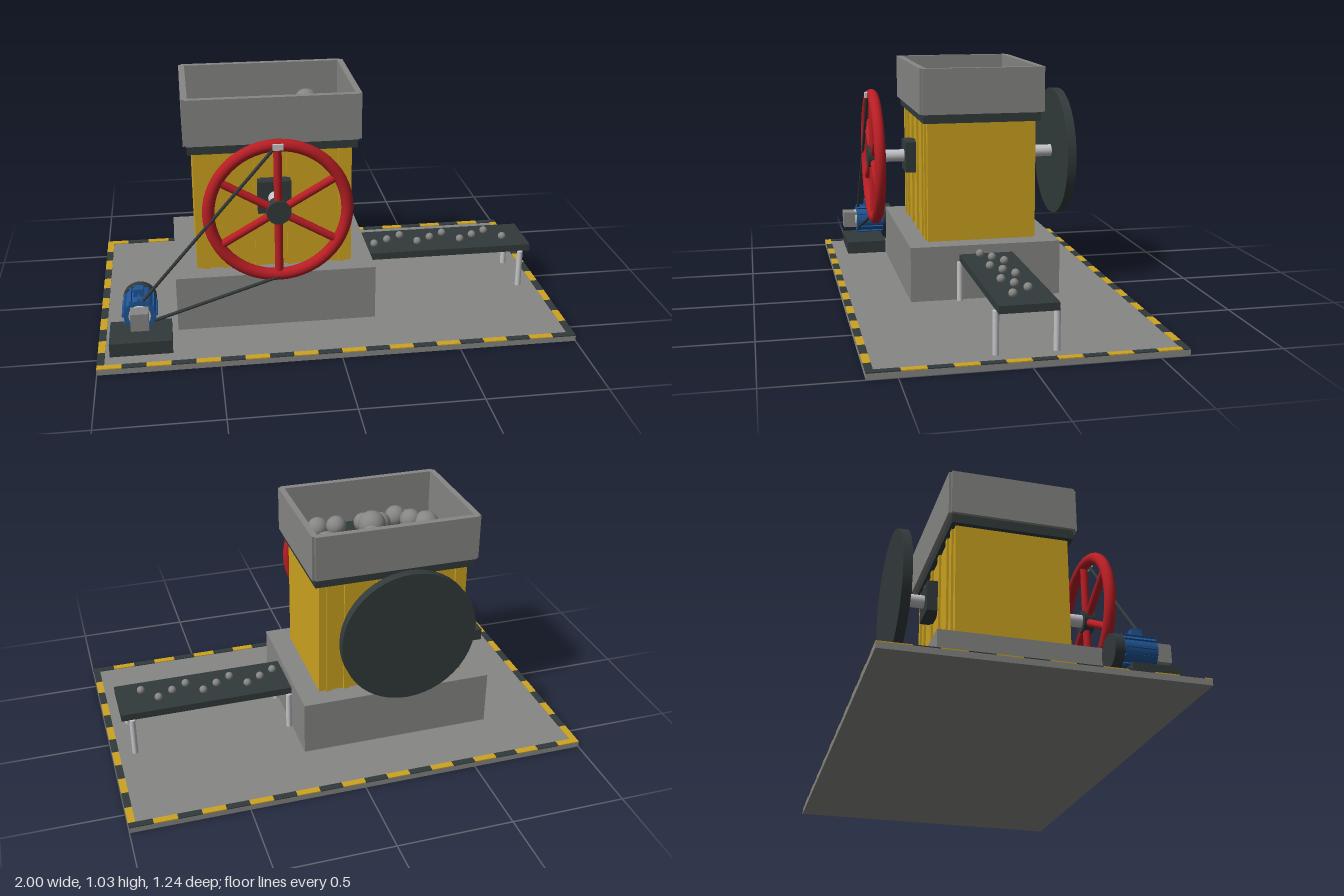
import * as THREE from 'three';

export function createModel() {
  const root = new THREE.Group();
  root.name = 'crusherPlant';
  const mat = (name, color) => {
    const m = new THREE.MeshStandardMaterial({ color });
    m.name = name;
    return m;
  };
  const gray = mat('concreteGray', 0x868684);
  const yellow = mat('machineYellow', 0xcca320);
  const dark = mat('darkIron', 0x323a3b);
  const red = mat('wheelRed', 0xb81e24);
  const blue = mat('motorBlue', 0x1f5596);
  const steel = mat('steel', 0xc4c4c8);

  const add = (name, geo, m, x = 0, y = 0, z = 0, parent = root) => {
    const mesh = new THREE.Mesh(geo, m);
    mesh.name = name;
    mesh.position.set(x, y, z);
    parent.add(mesh);
    return mesh;
  };
  // Box given by its min and max on each axis
  const box = (name, m, x0, x1, y0, y1, z0, z1) =>
    add(name, new THREE.BoxGeometry(x1 - x0, y1 - y0, z1 - z0), m,
      (x0 + x1) / 2, (y0 + y1) / 2, (z0 + z1) / 2);
  // Cylinder running along z
  const cylZ = (name, m, r, x, y, z0, z1, seg = 32) =>
    add(name, new THREE.CylinderGeometry(r, r, z1 - z0, seg).rotateX(Math.PI / 2), m, x, y, (z0 + z1) / 2);
  // Round rod between two points
  const rod = (name, m, a, b, r) => {
    const p = new THREE.Vector3(...a), q = new THREE.Vector3(...b);
    const d = q.clone().sub(p);
    const mesh = add(name, new THREE.CylinderGeometry(r, r, d.length(), 12), m);
    mesh.position.copy(p.add(q).multiplyScalar(0.5));
    mesh.quaternion.setFromUnitVectors(new THREE.Vector3(0, 1, 0), d.normalize());
    return mesh;
  };

  // Floor slab with hazard border
  box('floorSlab', gray, -1, 1, 0, 0.024, -0.618, 0.618);
  for (let i = 0; i < 20; i++) {
    const m = i % 2 ? dark : yellow, x = -1 + i * 0.1;
    for (const s of [-1, 1]) {
      box('hazardStripe', m, x, x + 0.1, 0.024, 0.028, s * 0.603 - 0.015, s * 0.603 + 0.015);
    }
  }
  const step = 1.176 / 12;
  for (let i = 0; i < 12; i++) {
    const m = i % 2 ? dark : yellow, z = -0.588 + i * step;
    for (const s of [-1, 1]) {
      box('hazardStripe', m, s * 0.985 - 0.015, s * 0.985 + 0.015, 0.024, 0.028, z, z + step);
    }
  }

  // Plinth, body and ribs
  const cx = -0.24, wy = 0.598;
  box('plinth', gray, -0.667, 0.187, 0.024, 0.265, -0.332, 0.332);
  box('crusherBody', yellow, cx - 0.333, cx + 0.333, 0.265, 0.79, -0.24, 0.24);
  for (const s of [-1, 1]) {
    for (const dx of [-0.29, -0.21, -0.07, 0.07, 0.21, 0.29]) {
      box('bodyRib', yellow, cx + dx - 0.013, cx + dx + 0.013, 0.265, 0.79,
        s * 0.243 - 0.007, s * 0.243 + 0.007);
    }
    // Bearing housings
    box('bearingBlock', dark, cx - 0.07, cx + 0.07, wy - 0.07, wy + 0.07,
      s * 0.268 - 0.028, s * 0.268 + 0.028);
  }

  // Hopper: collar and four walls
  box('hopperCollar', dark, cx - 0.355, cx + 0.355, 0.79, 0.83, -0.26, 0.26);
  for (const s of [-1, 1]) {
    box('hopperLongWall', gray, cx - 0.358, cx + 0.358, 0.83, 1.028, s * 0.262 - 0.014, s * 0.262 + 0.014);
    box('hopperShortWall', gray, cx + s * 0.357 - 0.013, cx + s * 0.357 + 0.013, 0.83, 1.028, -0.265, 0.265);
  }

  // Rocks in the hopper: x, z, radius
  const rocks = [
    [-0.5, -0.053, 0.043], [-0.487, 0.037, 0.059], [-0.428, 0.075, 0.048], [-0.428, 0.155, 0.037],
    [-0.385, 0.155, 0.048], [-0.348, -0.059, 0.048], [-0.32, -0.102, 0.043], [-0.294, 0.107, 0.048],
    [-0.246, 0.075, 0.062], [-0.23, 0.027, 0.045], [-0.225, 0.134, 0.043], [-0.053, -0.123, 0.053],
    [0.01, -0.155, 0.043], [-0.005, -0.032, 0.055], [-0.09, 0.107, 0.045], [-0.021, 0.16, 0.048],
  ];
  rocks.forEach(([x, z, r], i) =>
    add('rock', new THREE.SphereGeometry(r, 20, 14), gray, x, 0.86 + (i % 3) * 0.012, z));

  // Shaft and solid rear flywheel
  cylZ('mainShaft', steel, 0.028, cx, wy, -0.42, 0.43, 24);
  cylZ('rearFlywheel', dark, 0.295, cx, wy, -0.444, -0.404, 48);

  // Spoked drive wheel
  const wheel = new THREE.Group();
  wheel.name = 'driveWheel';
  wheel.position.set(cx, wy, 0.439);
  root.add(wheel);
  add('wheelRim', new THREE.TorusGeometry(0.283, 0.025, 16, 56), red, 0, 0, 0, wheel);
  add('wheelHub', new THREE.CylinderGeometry(0.05, 0.05, 0.05, 20).rotateX(Math.PI / 2), dark, 0, 0, 0, wheel);
  for (let i = 0; i < 3; i++) {
    add('wheelSpokes', new THREE.CylinderGeometry(0.017, 0.017, 0.56, 12), red, 0, 0, 0, wheel)
      .rotation.z = i * Math.PI / 3;
  }
  add('wheelMarker', new THREE.BoxGeometry(0.042, 0.024, 0.02), steel, 0, 0.283, 0.024, wheel);

  // Motor on its base
  const mx = -0.82, my = 0.178;
  box('motorBase', dark, -0.95, -0.692, 0.024, 0.083, 0.333, 0.523);
  cylZ('motorBody', blue, 0.066, mx, my, 0.33, 0.467);
  cylZ('motorFanCover', dark, 0.07, mx, my, 0.295, 0.334);
  for (let i = 0; i < 12; i++) {
    const a = i * Math.PI / 6;
    add('motorFin', new THREE.BoxGeometry(0.016, 0.01, 0.128), blue,
      mx + Math.cos(a) * 0.065, my + Math.sin(a) * 0.065, 0.4).rotation.z = a;
  }
  box('motorTerminalBox', blue, mx - 0.021, mx + 0.021, 0.235, 0.275, 0.383, 0.425);
  cylZ('motorPulley', steel, 0.045, mx, my, 0.46, 0.476, 24);
  box('motorGuard', gray, mx - 0.037, mx + 0.037, 0.141, 0.217, 0.467, 0.533);

  // Drive belt runs
  rod('beltUpperRun', dark, [-0.81, 0.232, 0.458], [-0.25, 0.88, 0.458], 0.007);
  rod('beltLowerRun', dark, [-0.79, 0.137, 0.458], [-0.24, 0.313, 0.458], 0.007);

  // Conveyor with legs and crushed stones
  box('conveyorDeck', dark, 0.187, 0.945, 0.195, 0.226, -0.118, 0.118);
  for (const x of [0.2, 0.9]) {
    for (const s of [-1, 1]) {
      add('conveyorLeg', new THREE.CylinderGeometry(0.013, 0.013, 0.172, 16), steel, x, 0.11, s * 0.119);
    }
  }
  for (let i = 0; i < 10; i++) {
    add('crushedStone', new THREE.SphereGeometry(0.018, 14, 10), gray,
      0.235 + i * 0.0667, 0.239, 0.038 - (i % 3) * 0.038);
  }
  return root;
}
